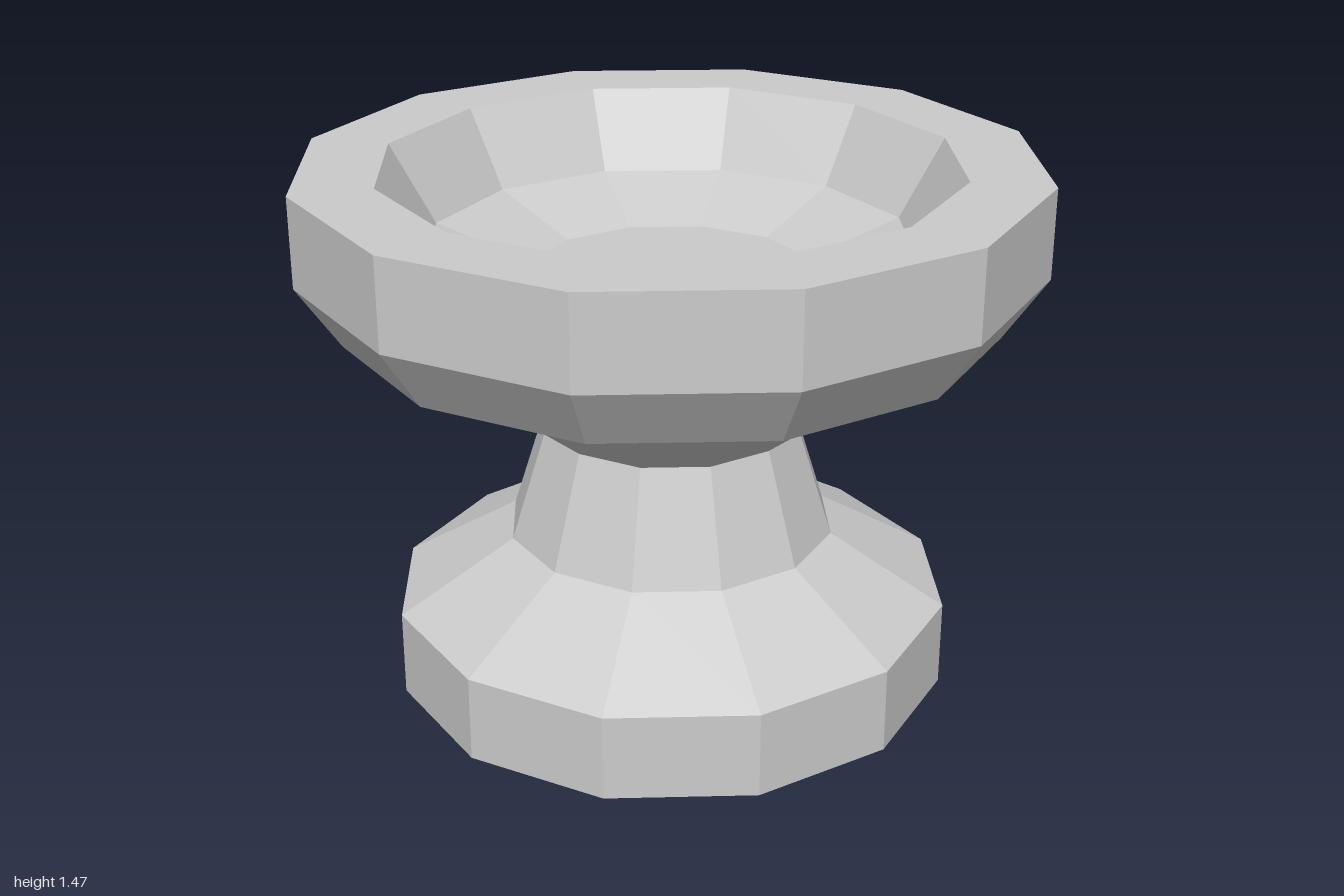
import * as THREE from 'three';

const SIDES = 12;

// Faceted ring of surfaces turned from a [radius, height] profile
function turned(name, profile, material) {
  const points = profile.map(([r, y]) => new THREE.Vector2(r, y));
  const geometry = new THREE.LatheGeometry(points, SIDES).toNonIndexed();
  geometry.computeVertexNormals();
  const mesh = new THREE.Mesh(geometry, material);
  mesh.name = name;
  return mesh;
}

export function createModel() {
  const model = new THREE.Group();
  model.name = 'pedestalBowl';
  const material = new THREE.MeshStandardMaterial({ color: 0xcccccc, flatShading: true });

  // Shared joints between the parts
  const neckBottom = [0.455, 0.43];
  const neckTop = [0.355, 0.745];
  const outerLip = [1, 1.465];
  const innerLip = [0.78, 1.465];

  model.add(
    // Flat-bottomed foot with a sloping shoulder
    turned('foot', [[0, 0], [0.775, 0], [0.775, 0.24], neckBottom], material),
    // Tapered neck
    turned('neck', [neckBottom, neckTop], material),
    // Flared outside of the bowl
    turned('bowlOuter', [neckTop, [0.59, 0.93], [0.885, 1.05], [1, 1.22], outerLip], material),
    // Flat rim
    turned('rim', [outerLip, innerLip], material),
    // Shallow hollow with a flat floor
    turned('bowlInner', [innerLip, [0.655, 1.25], [0.395, 1.16], [0, 1.16]], material)
  );
  return model;
}
